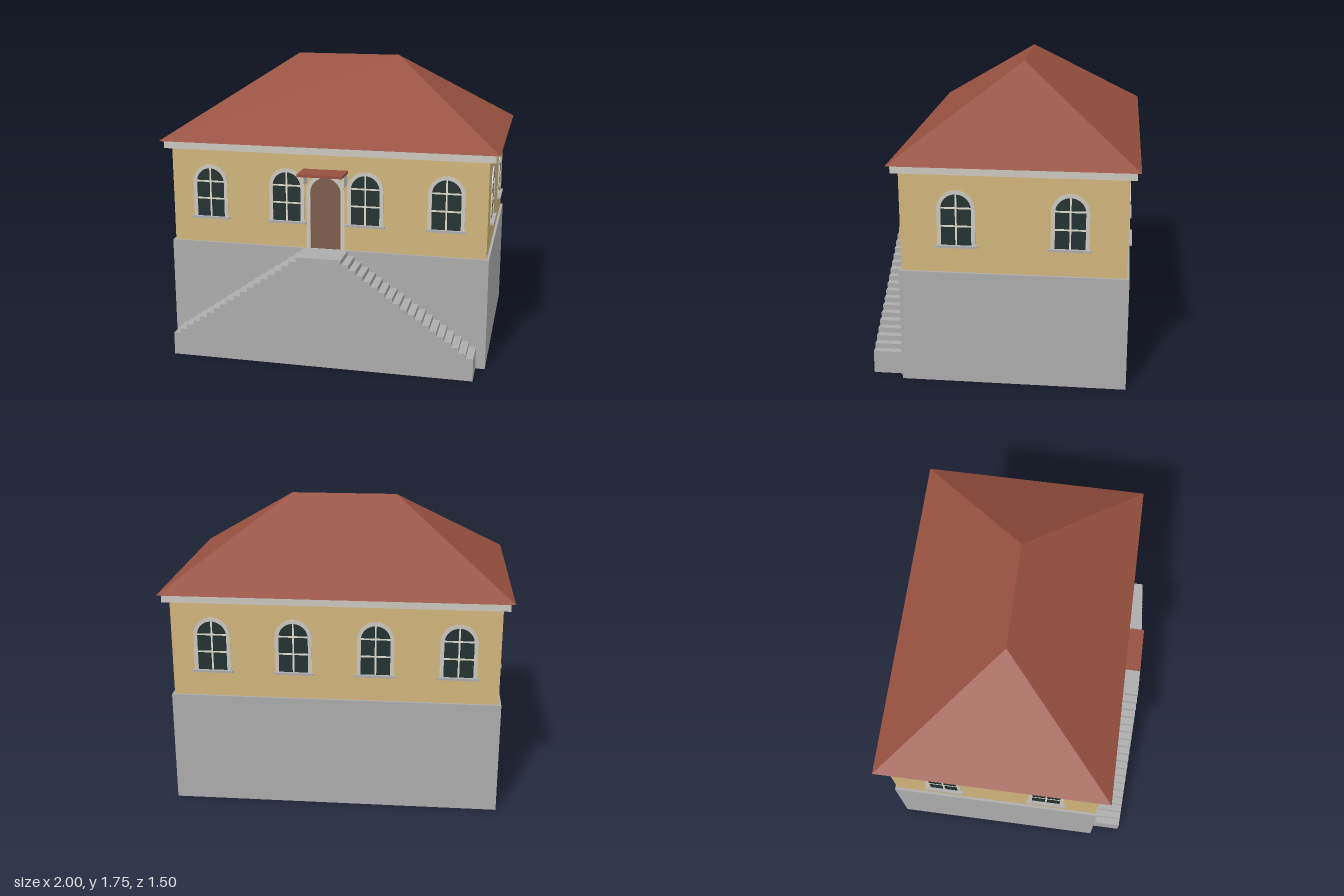
import * as THREE from 'three';

const CZ = -0.068; // depth centre of the building
const mat = (name, color, side = THREE.FrontSide) => {
  const m = new THREE.MeshStandardMaterial({ color, side });
  m.name = name;
  return m;
};

export function createModel() {
  const stone = mat('grey stone', 0xacacac, THREE.DoubleSide);
  const plaster = mat('ochre plaster', 0xd0b47c);
  const tile = mat('red roof', 0x96503f);
  const trim = mat('pale trim', 0xcbc7bf);
  const bars = mat('window bars', 0xdedacb);
  const glass = mat('dark glass', 0x243231);
  const wood = mat('brown door', 0x7d5c4a);

  const house = new THREE.Group();
  house.name = 'house';

  const add = (parent, name, geometry, material, x = 0, y = 0, z = 0) => {
    const mesh = new THREE.Mesh(geometry, material);
    mesh.name = name;
    mesh.position.set(x, y, z);
    parent.add(mesh);
    return mesh;
  };
  // Box given by its bottom height and top height
  const box = (parent, name, material, w, y0, y1, d, x = 0, z = 0) =>
    add(parent, name, new THREE.BoxGeometry(w, y1 - y0, d), material, x, (y0 + y1) / 2, z);
  // Removes the underside of a box
  const openBelow = (mesh) => {
    const g = mesh.geometry;
    const index = Array.from(g.index.array);
    index.splice(18, 6);
    g.setIndex(index);
    g.clearGroups();
  };

  // Main storeys
  openBelow(box(house, 'basement', stone, 1.91, 0, 0.668, 1.28, 0, CZ));
  openBelow(box(house, 'upperWalls', plaster, 1.88, 0.668, 1.24, 1.254, 0, CZ));
  box(house, 'cornice', trim, 1.954, 1.238, 1.283, 1.326, 0, CZ);

  // Hipped roof: a box whose top edge is drawn in to a ridge
  const roof = new THREE.BoxGeometry(2, 0.467, 1.368).toNonIndexed();
  const p = roof.attributes.position;
  for (let i = 0; i < p.count; i++) {
    if (p.getY(i) > 0) {
      p.setX(i, Math.sign(p.getX(i)) * 0.316);
      p.setZ(i, 0);
    }
  }
  roof.clearGroups();
  roof.computeVertexNormals();
  add(house, 'roof', roof, tile, 0, 1.283 + 0.467 / 2, CZ);

  // Round-headed outline with semicircular top
  const arch = (half, bottom, spring, ShapeType = THREE.Shape) => {
    const s = new ShapeType();
    s.moveTo(-half, bottom);
    s.lineTo(half, bottom);
    s.lineTo(half, spring);
    s.absarc(0, spring, half, 0, Math.PI, false);
    s.closePath();
    return s;
  };
  const frame = (outer, inner, bottom, spring) => {
    const s = arch(outer, bottom, spring);
    s.holes.push(arch(inner, bottom + 0.001, spring, THREE.Path));
    return new THREE.ExtrudeGeometry(s, { depth: 0.006, bevelEnabled: false, curveSegments: 16 });
  };

  // Arched window with six lights and a sill, facing +z
  const addWindow = (x, z, turn) => {
    const w = new THREE.Group();
    w.name = 'window';
    const spring = 1.037;
    add(w, 'windowFrame', frame(0.106, 0.084, 0.82, spring), trim);
    add(w, 'windowPane', new THREE.ShapeGeometry(arch(0.085, 0.822, spring), 16), glass, 0, 0, 0.002);
    box(w, 'verticalBar', bars, 0.01, 0.826, 1.121, 0.004, 0, 0.002);
    for (const y of [0.938, 1.042]) box(w, 'crossBar', bars, 0.168, y - 0.005, y + 0.005, 0.004, 0, 0.002);
    box(w, 'windowSill', stone, 0.236, 0.816, 0.828, 0.022, 0, 0.011);
    w.position.set(x, 0, z);
    w.rotation.y = turn;
    house.add(w);
  };
  for (const x of [-0.705, -0.235, 0.235, 0.705]) {
    addWindow(x, CZ + 0.627, 0);
    addWindow(x, CZ - 0.627, Math.PI);
  }
  for (const dz of [-0.313, 0.313]) {
    addWindow(0.94, CZ + dz, Math.PI / 2);
    addWindow(-0.94, CZ + dz, -Math.PI / 2);
  }

  // Entrance door under a small canopy
  const front = CZ + 0.627;
  add(house, 'doorFrame', frame(0.113, 0.091, 0.668, 1.007), trim, 0, 0, front + 0.001);
  add(house, 'door', new THREE.ShapeGeometry(arch(0.092, 0.668, 1.007), 16), wood, 0, 0, front + 0.003);
  box(house, 'canopy', tile, 0.264, 1.132, 1.147, 0.154, 0, front + 0.077);
  for (const s of [-1, 1]) box(house, 'canopyBracket', trim, 0.018, 1.063, 1.132, 0.078, s * 0.119, front + 0.039);

  // Twin stairs rising to a central landing
  const steps = 18, x0 = 0.9, x1 = 0.133, y0 = 0.136, y1 = 0.668;
  const run = (x0 - x1) / steps, rise = (y1 - y0) / steps;
  for (const s of [-1, 1]) {
    const profile = new THREE.Shape();
    profile.moveTo(s * x1, 0);
    profile.lineTo(s * x0, 0);
    for (let i = 0; i < steps; i++) {
      profile.lineTo(s * (x0 - i * run), y0 + i * rise);
      profile.lineTo(s * (x0 - (i + 1) * run), y0 + i * rise);
    }
    profile.closePath();
    const flight = new THREE.ExtrudeGeometry(profile, { depth: 0.188, bevelEnabled: false });
    add(house, s > 0 ? 'leftStairs' : 'rightStairs', flight, stone, 0, 0, 0.564);
  }
  openBelow(box(house, 'landing', stone, 2 * x1, 0, y1, 0.18, 0, 0.662));

  return house;
}
